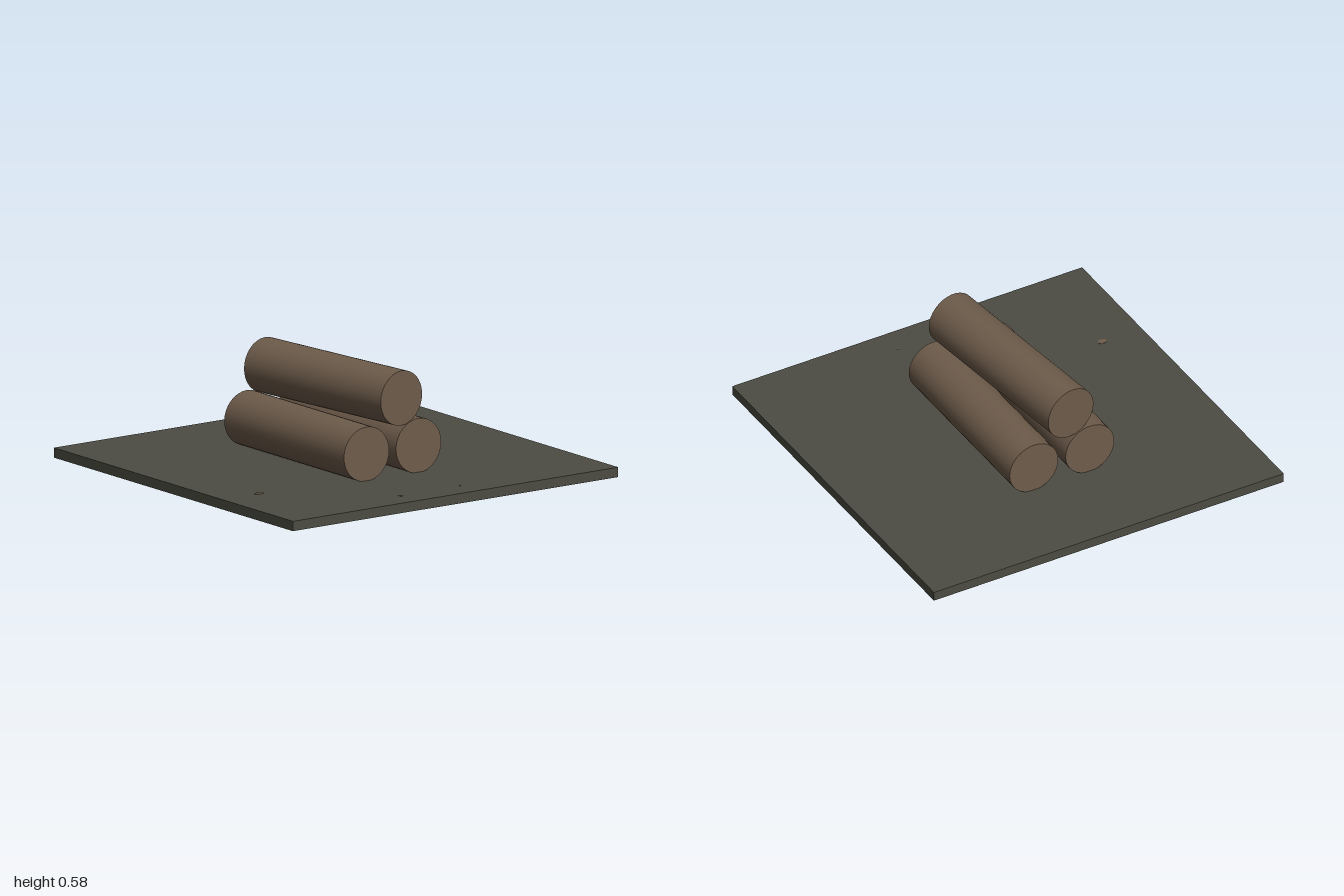
import * as THREE from 'three';

export function createModel() {
  const group = new THREE.Group();
  const stone = new THREE.MeshStandardMaterial({ name: 'groundGrey', color: 0x4c4c43 });
  const wood = new THREE.MeshStandardMaterial({ name: 'logBrown', color: 0x6e5c4b });

  const add = (name, geometry, material, x, y, z) => {
    const mesh = new THREE.Mesh(geometry, material);
    mesh.name = name;
    mesh.position.set(x, y, z);
    group.add(mesh);
    return mesh;
  };

  // Square ground slab
  add('groundSlab', new THREE.BoxGeometry(2, 0.05, 2), stone, 0, 0.025, 0);

  // Two parallel logs with a third lying askew on top
  const logGeometry = new THREE.CylinderGeometry(0.139, 0.139, 1, 32).rotateZ(Math.PI / 2);
  add('frontLog', logGeometry, wood, 0, 0.185, 0.18);
  add('backLog', logGeometry, wood, 0, 0.185, -0.14);
  add('topLog', logGeometry, wood, 0, 0.44, 0.018).rotation.y = 0.11;

  // Wood chips sunk in the slab, their tips just breaking the surface
  const chips = [
    [0.41, 0.775, 0.018, 0.025],
    [0.865, 0.24, 0.015, 0.01],
    [0.86, -0.13, 0.006, 0.006],
  ];
  for (const [x, z, rx, rz] of chips) {
    const chip = add('woodChip', new THREE.CylinderGeometry(1, 1, 0.004, 8), wood, x, 0.05, z);
    chip.scale.set(rx, 1, rz);
  }

  return group;
}
